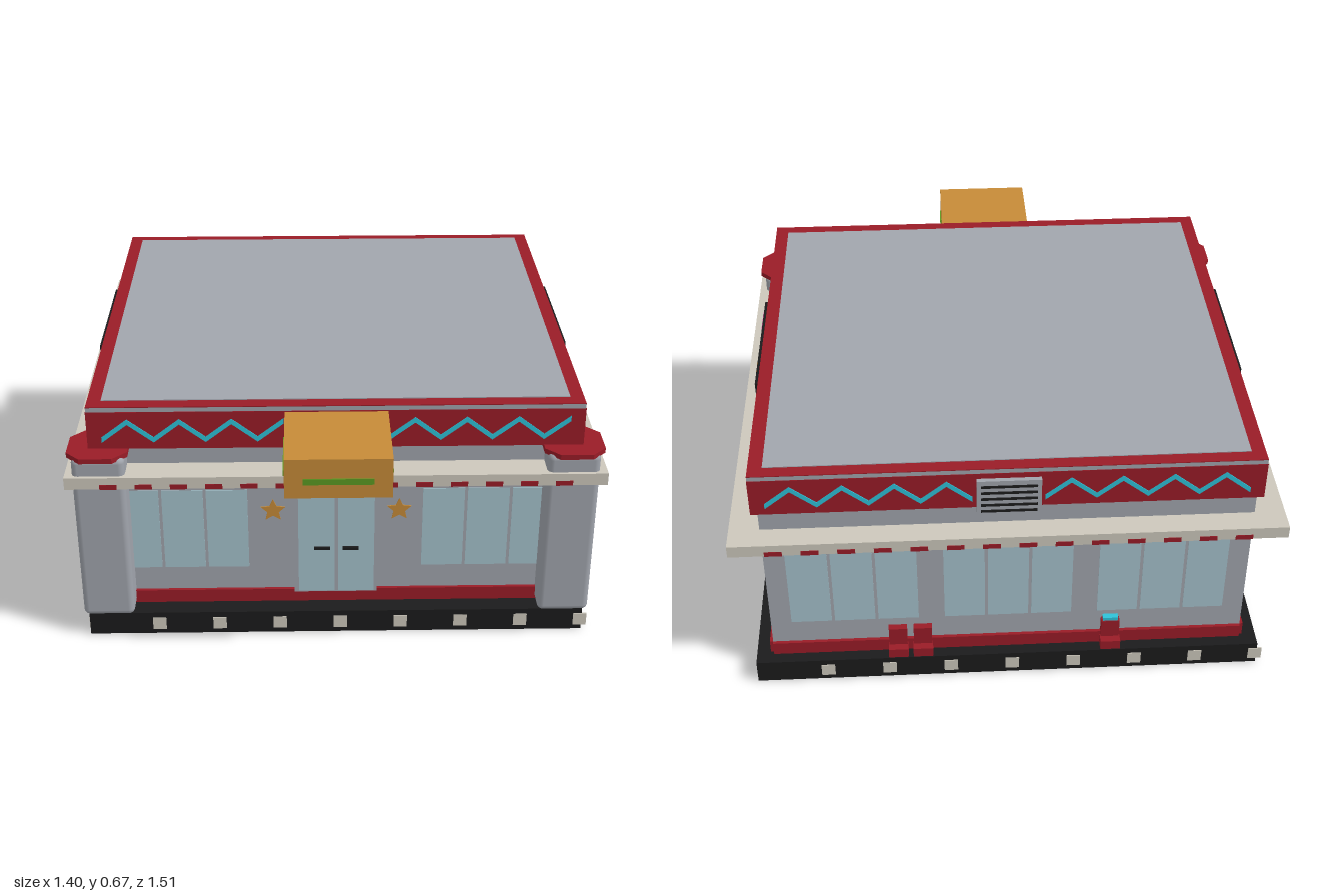
import * as THREE from 'three';
import { RoundedBoxGeometry } from 'three/addons/geometries/RoundedBoxGeometry.js';

const mat = (name, color) => Object.assign(new THREE.MeshStandardMaterial({ color }), { name });

export function createModel() {
  const M = {
    wall: mat('wall grey', 0xa1a5ad), red: mat('dark red', 0x9a1c27), stone: mat('ledge stone', 0xcdc8bc),
    black: mat('black', 0x1b1b1c), glass: mat('glass', 0xa5c2cc), tan: mat('tan', 0xc68b38),
    teal: mat('teal', 0x2ec2d8), pink: mat('pink', 0xdc479a), green: mat('green', 0x5c9a22),
  };
  const model = new THREE.Group();
  model.name = 'diner';

  const add = (parent, name, geo, m, x = 0, y = 0, z = 0) => {
    const mesh = new THREE.Mesh(geo, m);
    mesh.name = name;
    mesh.position.set(x, y, z);
    parent.add(mesh);
    return mesh;
  };
  // Box given by its limits on each axis
  const box = (parent, name, m, x0, x1, y0, y1, z0, z1) =>
    add(parent, name, new THREE.BoxGeometry(x1 - x0, y1 - y0, z1 - z0), m, (x0 + x1) / 2, (y0 + y1) / 2, (z0 + z1) / 2);
  // Thin panel standing proud of a face at distance d
  const plate = (parent, name, m, u0, u1, v0, v1, d, t = 0.006) =>
    box(parent, name, m, u0, u1, v0, v1, d - 0.002, d + t);
  // Flat outline panel
  const cutout = (parent, name, m, pts, d, t = 0.003) =>
    add(parent, name, new THREE.ExtrudeGeometry(new THREE.Shape(pts.map(p => new THREE.Vector2(...p))),
      { depth: t, bevelEnabled: false }), m, 0, 0, d);

  // Main masses
  box(model, 'base', M.black, -0.665, 0.665, 0.001, 0.067, -0.64, 0.64);
  box(model, 'floorSlab', M.wall, -0.64, 0.64, 0, 0.02, -0.62, 0.62);
  box(model, 'walls', M.wall, -0.62, 0.62, 0.067, 0.55, -0.6, 0.58);
  box(model, 'ledge', M.stone, -0.697, 0.697, 0.463, 0.496, -0.662, 0.657);
  box(model, 'frieze', M.red, -0.637, 0.637, 0.55, 0.655, -0.606, 0.6);
  box(model, 'parapet', M.wall, -0.636, 0.636, 0.655, 0.667, -0.605, 0.599);
  box(model, 'roofRim', M.red, -0.636, 0.636, 0.667, 0.669, -0.605, 0.599);
  box(model, 'roof', M.wall, -0.6, 0.6, 0.66, 0.671, -0.572, 0.563);

  // Rounded front corner columns with chamfered red caps
  const h = 0.078, c = 0.042;
  const capShape = new THREE.Shape(
    [[-h, c], [-h, -c], [-c, -h], [c, -h], [h, -c], [h, c], [c, h], [-c, h]].map(p => new THREE.Vector2(...p)));
  for (const s of [-1, 1]) {
    add(model, 'column', new RoundedBoxGeometry(0.136, 0.48, 0.136, 3, 0.016), M.wall, s * 0.61, 0.305, 0.58);
    add(model, 'columnCap', new THREE.ExtrudeGeometry(capShape, { depth: 0.014, bevelEnabled: false })
      .rotateX(-Math.PI / 2), M.red, s * 0.613, 0.537, 0.578);
  }

  // Zigzag ribbon between u0 and u1
  const zigzag = (g, m, u0, u1, d) => {
    const n = Math.max(2, Math.round((u1 - u0) / 0.067)), w = 0.0075, top = [], bottom = [];
    for (let i = 0; i <= n; i++) {
      const u = u0 + (u1 - u0) * i / n, v = i % 2 ? 0.627 : 0.576;
      top.push([u, v + w]);
      bottom.unshift([u, v - w]);
    }
    cutout(g, 'zigzag', m, [...bottom, ...top], d, 0.002);
  };
  // Row of three panes from u0 to u1
  const windowRow = (g, u0, u1, d) => {
    const p = (u1 - u0) / 3;
    for (let i = 0; i < 3; i++)
      plate(g, 'windowPane', M.glass, u0 + i * p + 0.004, u0 + (i + 1) * p - 0.004, 0.175, 0.413, d, 0.002);
  };

  // One decorated face: local x runs along the wall, local z points outwards
  const face = (name, turn, o) => {
    const g = new THREE.Group();
    g.name = name;
    g.rotation.y = turn;
    model.add(g);
    plate(g, 'lowerStripe', M.red, o.w0, o.w1, 0.067, 0.105, o.wall, 0.009);
    plate(g, 'upperStripe', M.red, o.w0, o.w1, 0.425, 0.445, o.wall, 0.009);
    for (const u of o.squares) plate(g, 'baseSquare', M.stone, u - 0.018, u + 0.018, 0.015, 0.051, o.base, 0.002);
    for (let u = -0.585; u < 0.6; u += 0.09)
      plate(g, 'trimDash', M.red, u - 0.022, u + 0.022, 0.462, 0.476, o.ledge, 0.001);
    for (const [a, b] of o.windows) windowRow(g, a, b, o.wall);
    for (const [a, b] of o.zigzags) zigzag(g, o.color, a, b, o.frieze);
    return g;
  };
  const row = (start, n) => Array.from({ length: n }, (_, i) => start + i * 0.1625);

  const front = face('frontFace', 0, {
    wall: 0.58, base: 0.64, ledge: 0.657, frieze: 0.6, w0: -0.62, w1: 0.62, squares: row(-0.4775, 8),
    windows: [[-0.58, -0.23], [0.225, 0.58]], zigzags: [[-0.6, -0.135], [0.135, 0.6]], color: M.teal,
  });
  const back = face('backFace', Math.PI, {
    wall: 0.6, base: 0.64, ledge: 0.662, frieze: 0.606, w0: -0.62, w1: 0.62, squares: row(-0.4775, 8),
    windows: [[-0.57, -0.23], [-0.17, 0.17], [0.23, 0.57]], zigzags: [[-0.6, -0.09], [0.09, 0.6]], color: M.teal,
  });

  // Left and right faces, each with a snack sign
  for (const s of [1, -1]) {
    const flip = list => list.map(([a, b]) => (s > 0 ? [a, b] : [-b, -a]));
    const g = face(s > 0 ? 'leftFace' : 'rightFace', s * Math.PI / 2, {
      wall: 0.62, base: 0.665, ledge: 0.697, frieze: 0.637, w0: s > 0 ? -0.58 : -0.6, w1: s > 0 ? 0.6 : 0.58,
      squares: [-0.617, ...row(-0.6, 8)].map(u => s * u), color: M.pink,
      windows: flip([[-0.515, -0.24], [-0.17, 0.15], [0.21, 0.54]]), zigzags: flip([[-0.575, -0.21], [0.21, 0.56]]),
    });
    plate(g, 'snackSign', M.black, -0.2, 0.2, 0.565, 0.655, 0.637, 0.009);
    const d = 0.646;
    cutout(g, 'cup', M.pink, [[-0.147, 0.58], [-0.087, 0.58], [-0.078, 0.628], [-0.158, 0.628]], d);
    plate(g, 'cupLid', M.pink, -0.161, -0.075, 0.627, 0.645, d, 0.003);
    cutout(g, 'snackBox', M.red, [[0.068, 0.581], [0.137, 0.581], [0.143, 0.618], [0.062, 0.618]], d);
    for (let i = 0; i < 4; i++)
      plate(g, 'snackStick', M.tan, 0.071 + i * 0.017, 0.085 + i * 0.017, 0.612, 0.638 + (i % 2) * 0.01, d, 0.002);
  }

  // Double front door
  plate(front, 'doorFrame', M.wall, -0.113, 0.11, 0.1, 0.418, 0.58, 0.014);
  for (const s of [-1, 1]) {
    const x = s * 0.053;
    plate(front, 'doorLeaf', M.glass, x - 0.048, x + 0.048, 0.104, 0.41, 0.594, 0.002);
    plate(front, 'doorHandle', M.black, s * 0.038 - 0.021, s * 0.038 + 0.021, 0.237, 0.245, 0.596, 0.006);
    // Wall star beside the door
    const star = Array.from({ length: 10 }, (_, i) => {
      const r = i % 2 ? 0.016 : 0.034, a = Math.PI / 2 + i * Math.PI / 5;
      return [s * 0.167 + r * Math.cos(a), 0.35 + r * Math.sin(a)];
    });
    cutout(front, 'wallStar', M.tan, star, 0.58);
  }

  // Projecting sign box with green bars
  box(model, 'signBox', M.tan, -0.132, 0.132, 0.545, 0.652, 0.58, 0.848);
  plate(model, 'signFrontBar', M.green, -0.087, 0.087, 0.583, 0.599, 0.848, 0.003);
  for (const s of [-1, 1])
    add(model, 'signSideBar', new THREE.BoxGeometry(0.007, 0.016, 0.17), M.green, s * 0.132, 0.591, 0.72);

  // Slatted vent on the back frieze
  plate(back, 'ventFrame', M.wall, -0.08, 0.08, 0.53, 0.64, 0.606, 0.012);
  for (let i = 0; i < 5; i++)
    plate(back, 'ventGap', M.black, -0.07, 0.07, 0.543 + i * 0.019, 0.55 + i * 0.019, 0.618, 0.002);

  // Small red stands along the back wall
  for (const u of [-0.29, -0.225, 0.27]) {
    box(back, 'standFoot', M.red, u - 0.026, u + 0.026, 0.067, 0.095, 0.6, 0.638);
    box(back, 'standBody', M.red, u - 0.024, u + 0.024, 0.095, 0.15, 0.6, 0.618);
  }
  box(back, 'standTop', M.teal, 0.25, 0.29, 0.15, 0.16, 0.6, 0.616);
  return model;
}
